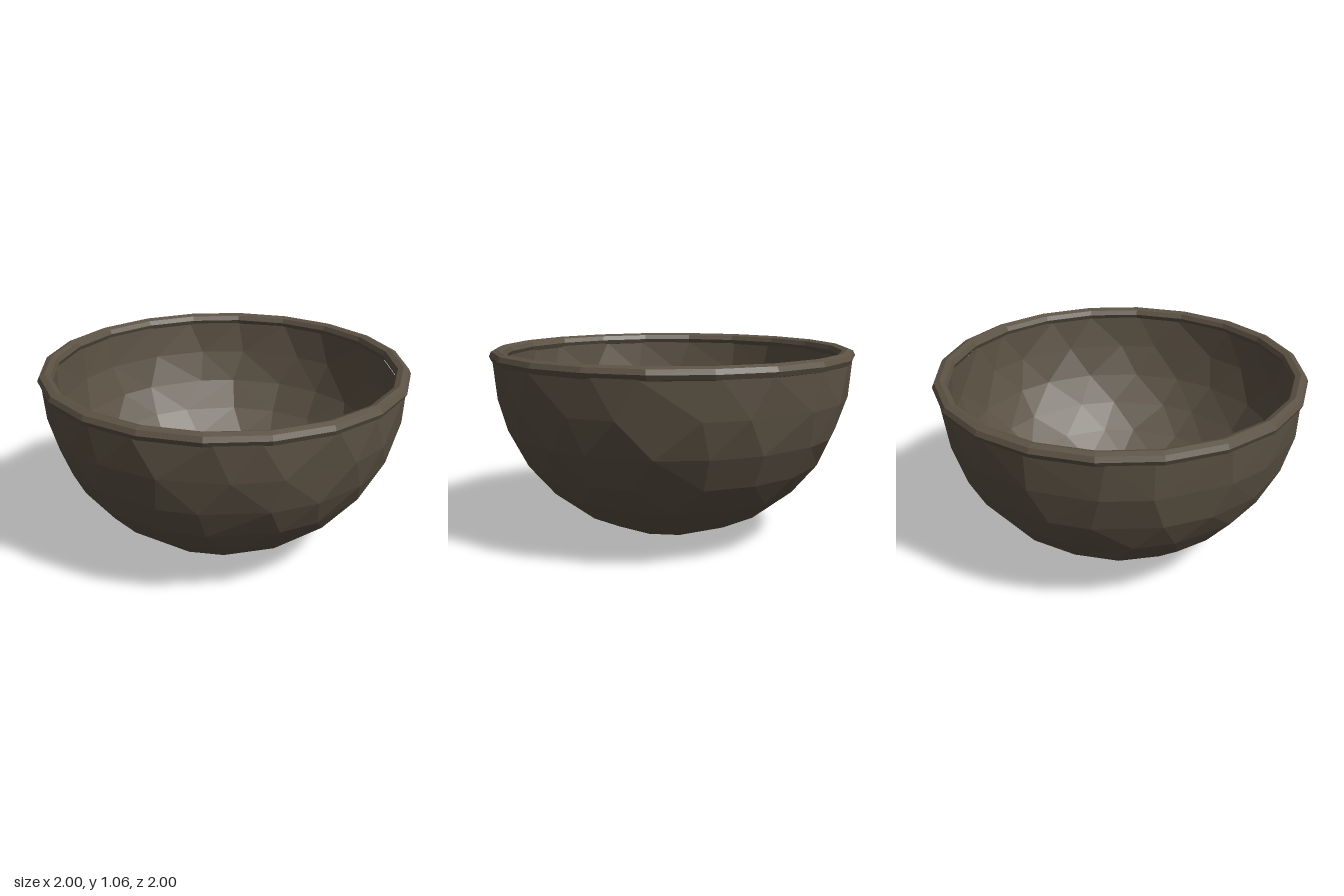
import * as THREE from 'three';

// Outer profile from rim to base: [radius, height, facets in the ring]
const PROFILE = [
  [0.985, 1.0, 20], [0.968, 0.8, 19], [0.915, 0.61, 20], [0.825, 0.44, 18],
  [0.7, 0.29, 17], [0.545, 0.165, 14], [0.36, 0.075, 10], [0.16, 0.02, 6],
];

// One irregular ring of points, turned half a facet on every other row
function makeRing([radius, y, count], row) {
  const points = [];
  for (let i = 0; i < count; i++) {
    const wobble = 0.14 * Math.sin(i * 2.7 + row * 1.9);
    const t = (i + (row % 2) * 0.5 + wobble) / count;
    const a = t * Math.PI * 2;
    points.push({ t, p: [Math.cos(a) * radius, y, Math.sin(a) * radius] });
  }
  points.push({ t: points[0].t + 1, p: points[0].p });
  return points;
}

// Triangulated shell; inward flips the faces towards the hollow
function makeShell(profile, baseY, inward) {
  const positions = [];
  const face = (a, b, c) => positions.push(...a, ...(inward ? c : b), ...(inward ? b : c));
  const rings = profile.map(makeRing);

  // Stitch neighbouring rings by always advancing the one that lags in angle
  for (let r = 0; r < rings.length - 1; r++) {
    const up = rings[r], low = rings[r + 1];
    let i = 0, j = 0;
    while (i < up.length - 1 || j < low.length - 1) {
      const stepUp = j === low.length - 1 ||
        (i < up.length - 1 && up[i + 1].t <= low[j + 1].t);
      if (stepUp) {
        face(up[i].p, up[i + 1].p, low[j].p);
        i++;
      } else {
        face(up[i].p, low[j + 1].p, low[j].p);
        j++;
      }
    }
  }

  // Close the base with a fan
  const last = rings[rings.length - 1];
  for (let i = 0; i < last.length - 1; i++) face(last[i].p, last[i + 1].p, [0, baseY, 0]);

  const geometry = new THREE.BufferGeometry();
  geometry.setAttribute('position', new THREE.Float32BufferAttribute(positions, 3));
  geometry.computeVertexNormals();
  return geometry;
}

export function createModel() {
  const bowl = new THREE.Group();
  bowl.name = 'bowl';
  const material = new THREE.MeshStandardMaterial({ color: 0x5c5244, flatShading: true });
  const add = (name, geometry) => {
    const mesh = new THREE.Mesh(geometry, material);
    mesh.name = name;
    bowl.add(mesh);
    return mesh;
  };

  // Outer wall
  add('outerWall', makeShell(PROFILE, 0, false));

  // Inner wall, shrunk towards the centre of the opening
  const k = 0.945;
  const inner = PROFILE.map(([r, y, n]) => [r * k, 1 + (y - 1) * k, n]);
  add('innerWall', makeShell(inner, 1 - k, true));

  // Rolled rim hiding the gap between the walls
  const rimGeometry = new THREE.TorusGeometry(0.96, 0.041, 8, 20);
  rimGeometry.rotateX(Math.PI / 2);
  rimGeometry.scale(1, 0.88, 1);
  const rim = add('rim', rimGeometry);
  rim.position.y = 1.02;

  return bowl;
}
